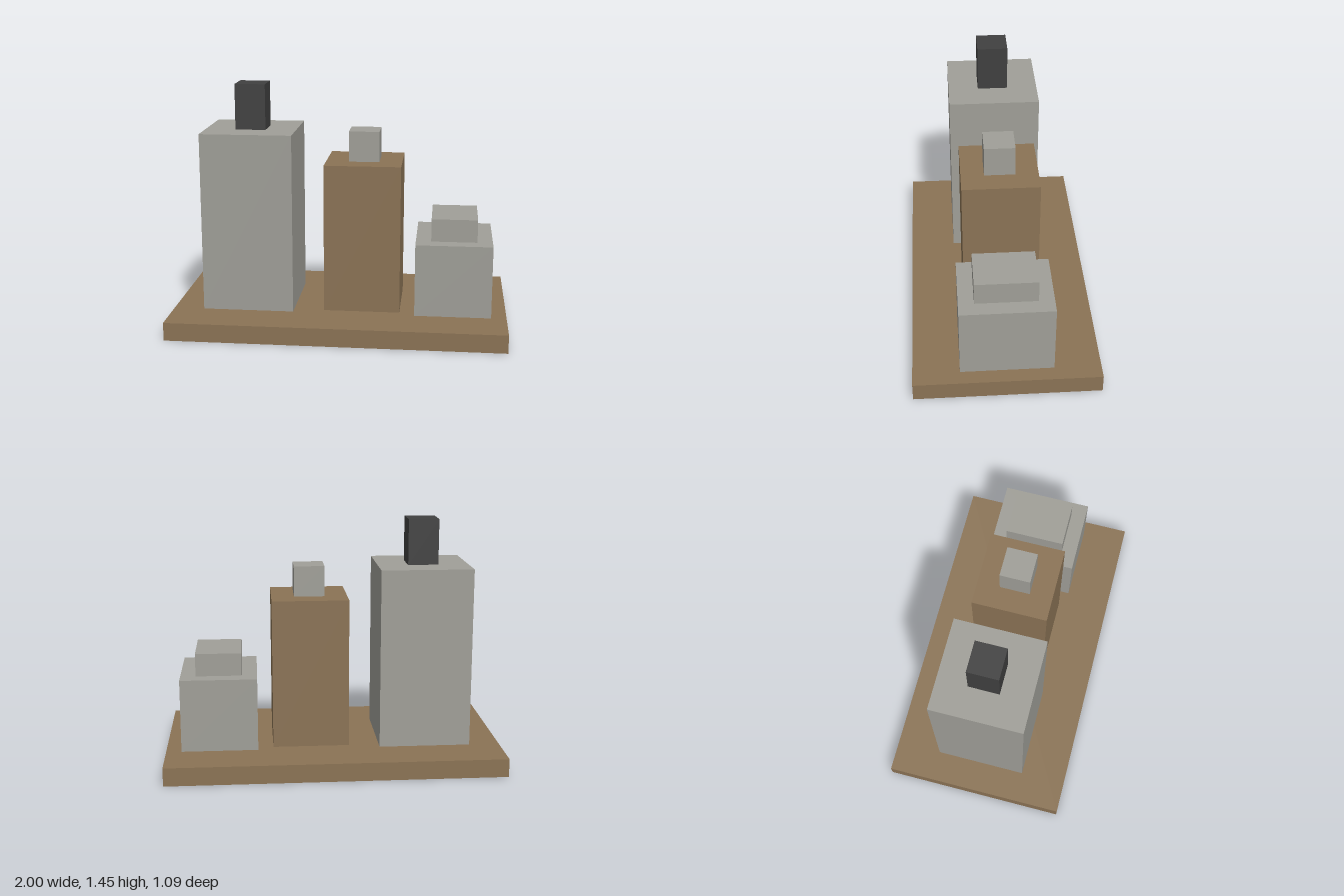
import * as THREE from 'three';

const U = 1 / 11; // modelling unit: the base is 22 units long

function material(name, color) {
  const m = new THREE.MeshStandardMaterial({ color });
  m.name = name;
  return m;
}

export function createModel() {
  const brown = material('brown', 0x8b7355);
  const grey = material('stone grey', 0xa09f98);
  const dark = material('dark grey', 0x404040);

  const model = new THREE.Group();
  model.name = 'blockTowers';

  // Block centred on z = 0, given in units by its centre x, bottom, top, width and depth
  function block(name, mat, x, bottom, top, width, depth) {
    const mesh = new THREE.Mesh(new THREE.BoxGeometry(width * U, (top - bottom) * U, depth * U), mat);
    mesh.name = name;
    mesh.position.set(x * U, (bottom + top) / 2 * U, 0);
    model.add(mesh);
  }

  // Base slab
  block('base', brown, 0, 0, 1.2, 22, 12);

  // Tall tower with its chimney
  block('tallTower', grey, -6, 1.2, 13, 6, 6);
  block('chimney', dark, -6, 13, 16, 2, 2);

  // Middle tower with its cap
  block('middleTower', brown, 1.5, 1.2, 11, 5, 5);
  block('middleCap', grey, 1.5, 11, 13, 2, 2);

  // Low building with its stepped roof
  block('lowBuilding', grey, 7.5, 1.2, 6, 5, 6);
  block('steppedRoof', grey, 7.5, 6, 7.5, 3, 4);

  return model;
}
